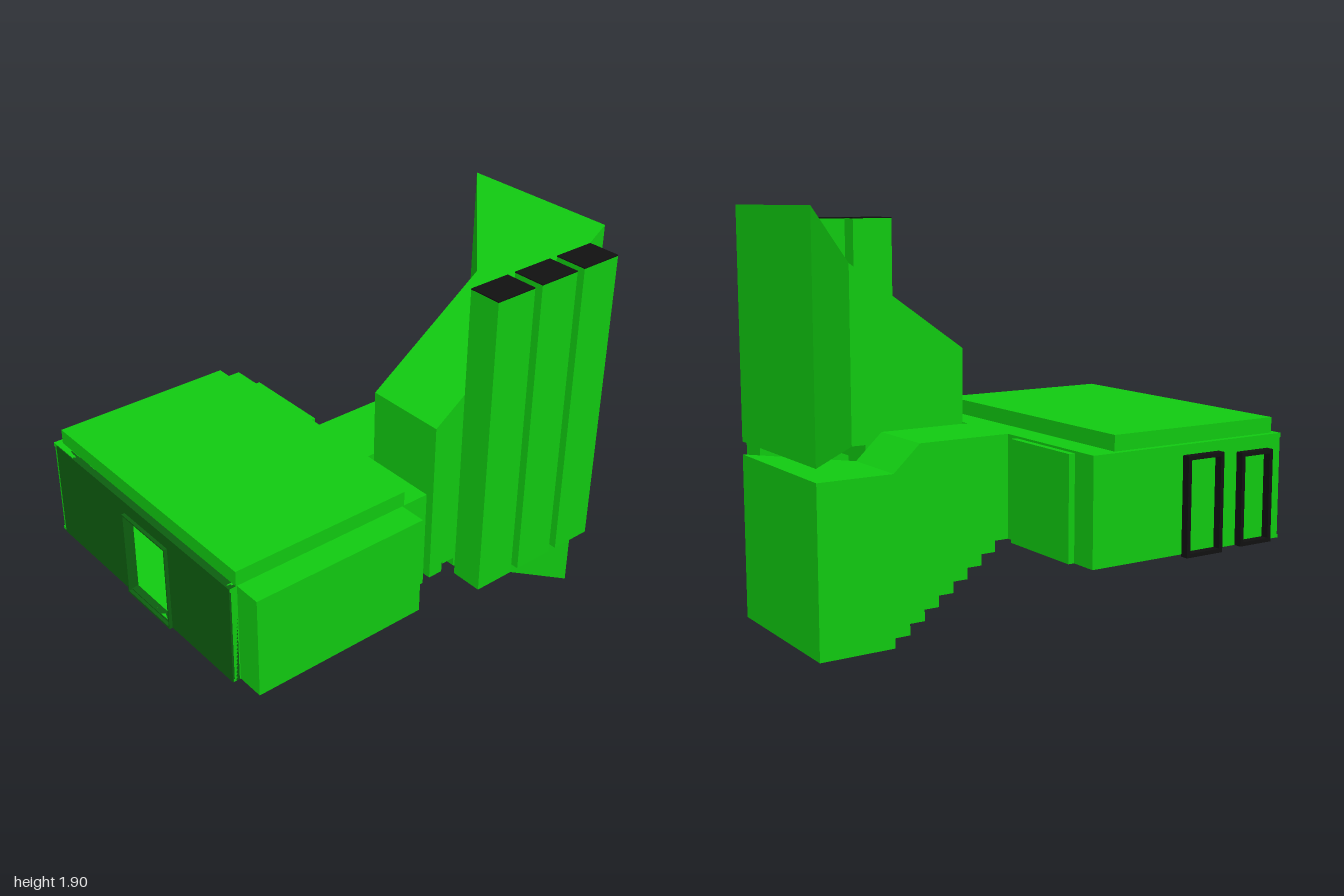
import * as THREE from 'three';

const green = new THREE.MeshStandardMaterial({ color: 0x11cc11, flatShading: true });
const darkGreen = new THREE.MeshStandardMaterial({ color: 0x0d5f10, flatShading: true });
const black = new THREE.MeshStandardMaterial({ color: 0x111111, flatShading: true });

const shapeOf = (pts) => new THREE.Shape(pts.map(([a, b]) => new THREE.Vector2(a, b)));
const extrude = (shape, depth) => new THREE.ExtrudeGeometry(shape, { depth, bevelEnabled: false });

export function createModel() {
  const model = new THREE.Group();

  function add(name, geometry, material = green, parent = model) {
    const mesh = new THREE.Mesh(geometry, material);
    mesh.name = name;
    parent.add(mesh);
    return mesh;
  }
  // Box given by its limits on each axis
  function box(name, [x0, x1], [y0, y1], [z0, z1], material, parent) {
    const mesh = add(name, new THREE.BoxGeometry(x1 - x0, y1 - y0, z1 - z0), material, parent);
    mesh.position.set((x0 + x1) / 2, (y0 + y1) / 2, (z0 + z1) / 2);
    return mesh;
  }
  // Footprint of [x, z] points raised from y0 to y1
  const footprint = (pts, y0, y1) =>
    extrude(shapeOf(pts.map(([x, z]) => [x, -z])), y1 - y0).rotateX(-Math.PI / 2).translate(0, y0, 0);
  // Side profile of [z, y] points swept from x0 to x1
  const profile = (pts, x0, x1) =>
    extrude(shapeOf(pts), x1 - x0).rotateY(-Math.PI / 2).translate(x1, 0, 0);

  // Main hall: floor, ceiling, walls open to the front, and a front wall with a doorway
  box('hallFloor', [-0.77, 0.61], [0.41, 0.425], [-0.06, 0.98]);
  box('hallCeiling', [-0.77, 0.61], [0.87, 0.89], [-0.06, 0.98]);
  add('hallWalls', footprint([
    [-0.77, 0.975], [-0.77, -0.06], [0.61, -0.06], [0.61, 0.975],
    [0.58, 0.975], [0.58, -0.03], [-0.74, -0.03], [-0.74, 0.975],
  ], 0.41, 0.89));
  const front = shapeOf([[-0.74, 0.41], [0.61, 0.41], [0.61, 0.89], [-0.74, 0.89]]);
  front.holes.push(shapeOf([[-0.16, 0.425], [-0.16, 0.82], [0.16, 0.82], [0.16, 0.425]]));
  add('frontWall', extrude(front, 0.034).translate(0, 0, 0.95), darkGreen);

  // Thin surround standing proud of the front wall
  const surround = shapeOf([[-0.165, 0.41], [0.165, 0.41], [0.165, 0.83], [-0.165, 0.83]]);
  surround.holes.push(shapeOf([[-0.158, 0.42], [-0.158, 0.823], [0.158, 0.823], [0.158, 0.42]]));
  add('doorSurround', extrude(surround, 0.03).translate(0, 0, 0.97), darkGreen);

  // Side wing, shallow rear bay and raised roof
  box('sideWing', [0.6, 0.74], [0.41, 0.89], [0.08, 0.945]);
  box('rearBay', [-0.64, -0.2], [0.41, 0.88], [-0.09, -0.05]);
  box('roofSlab', [-0.74, 0.61], [0.885, 0.96], [0.07, 0.95]);

  // Open black frames on the right-hand wall
  [[0.415, 0.615, 0.4, 0.845], [0.72, 0.9, 0.41, 0.83]].forEach(([z0, z1, y0, y1], i) => {
    const t = 0.018;
    const frame = shapeOf([[z0, y0], [z1, y0], [z1, y1], [z0, y1]]);
    frame.holes.push(shapeOf([
      [z0 + t, y0 + t], [z0 + t, y1 - t], [z1 - t, y1 - t], [z1 - t, y0 + t],
    ]));
    const geometry = extrude(frame, 0.04).rotateY(-Math.PI / 2).translate(-0.768, 0, 0);
    add('sideFrame' + (i + 1), geometry, black);
  });

  // Lower stair: enclosed flight with a stepped underside
  const run = 0.073, rise = 0.052;
  const lower = [[-0.64, 0.77], [-0.51, 0.89], [-0.06, 0.89], [-0.06, 0.41]];
  for (let i = 0; i < 8; i++) {
    const z = -0.129 - run * i, y = 0.41 - rise * i;
    lower.push([z, y]);
    if (i < 7) lower.push([z, y - rise]);
  }
  add('lowerStair', profile(lower, -0.13, 0.22));

  // Lower landing with one slanting corner
  add('lowerLanding', footprint([[-0.13, -1], [0.65, -1], [0.22, -0.64], [-0.13, -0.64]], 0, 0.77));

  // Upper stair: flight with a stepped underside below a sloping roof
  const roofY = (z) => 1.24 + (-0.06 - z) * 0.702;
  const upper = [[-0.57, roofY(-0.57)], [-0.06, roofY(-0.06)], [-0.06, 0.465]];
  for (let i = 0; i < 7; i++) {
    const z = -0.06 - run * (i + 1), y = 0.465 + rise * i;
    upper.push([z, y], [z, y + rise]);
  }
  add('upperStair', profile(upper, 0.26, 0.65));

  // Upper landing: top vertices follow the same sloping roof
  const tower = footprint([
    [-0.13, -1], [0.65, -1], [0.65, -0.57], [0.26, -0.57], [0.26, -0.64],
  ], 0.83, 1.5);
  const p = tower.attributes.position;
  for (let i = 0; i < p.count; i++) {
    if (p.getY(i) > 1) p.setY(i, roofY(p.getZ(i)));
  }
  tower.computeVertexNormals();
  add('upperLanding', tower);

  // Three tall shafts with black caps
  for (let i = 0; i < 3; i++) {
    const shaft = new THREE.Group();
    shaft.name = 'shaft' + (i + 1);
    model.add(shaft);
    const z1 = -0.215 - 0.248 * i, z0 = z1 - 0.205;
    box('shaftBody', [0.65, 0.805], [0.415, 1.835], [z0, z1], green, shaft);
    box('shaftCap', [0.65, 0.805], [1.835, 1.84], [z0, z1], black, shaft);
  }

  return model;
}
